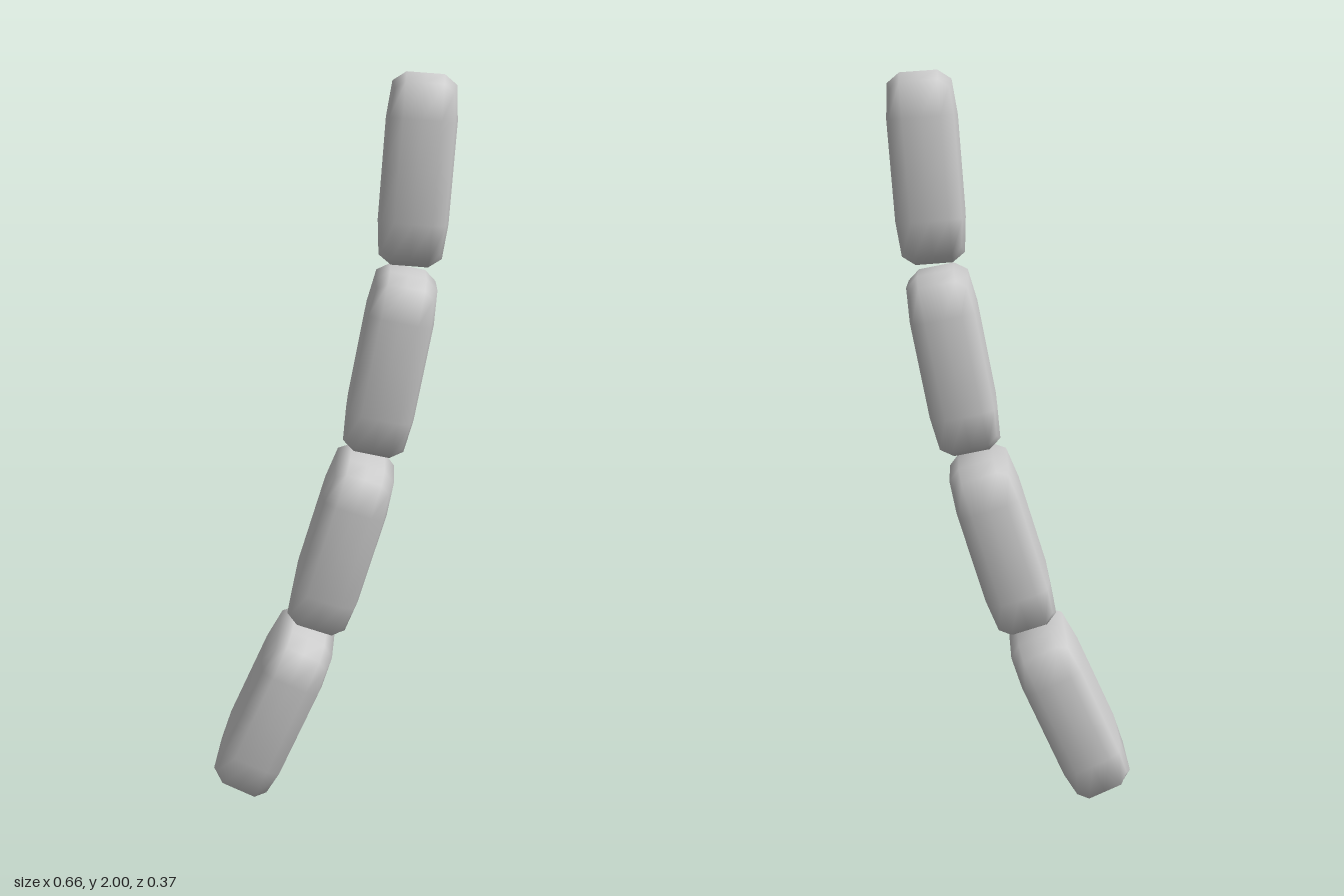
import * as THREE from 'three';
import { mergeVertices } from 'three/addons/utils/BufferGeometryUtils.js';

// Softened block: a 4x4x4 box whose edges and corners are pulled inwards
function softBlock(halfX, halfY, halfZ) {
  const box = new THREE.BoxGeometry(4, 4, 4, 4, 4, 4);
  box.deleteAttribute('uv');
  box.deleteAttribute('normal');
  const geometry = mergeVertices(box);
  const pos = geometry.attributes.position;
  const outer = [0, 1, 0.9, 0.82]; // reach on a face, an edge, a corner
  for (let i = 0; i < pos.count; i++) {
    const p = [pos.getX(i), pos.getY(i), pos.getZ(i)].map(Math.round);
    const reach = outer[p.filter((v) => Math.abs(v) === 2).length];
    const q = p.map((v) => (Math.abs(v) === 2 ? Math.sign(v) * reach : v * 0.53));
    pos.setXYZ(i, q[0] * halfX, q[1] * halfY, q[2] * halfZ);
  }
  geometry.computeVertexNormals();
  return geometry;
}

export function createModel() {
  const model = new THREE.Group();
  model.name = 'segmentedStrip';
  const material = new THREE.MeshStandardMaterial({ color: 0xcccccc });
  const geometry = softBlock(0.092, 0.246, 0.187);

  // Segments from bottom to top: x, y, lean in degrees
  const segments = [
    [-0.161, 0.249, 24.5],
    [0.028, 0.734, 17.4],
    [0.159, 1.241, 11],
    [0.226, 1.752, 4.2],
  ];
  segments.forEach(([x, y, lean], i) => {
    const segment = new THREE.Mesh(geometry, material);
    segment.name = `segment${i + 1}`;
    segment.position.set(x, y, 0);
    segment.rotation.z = -THREE.MathUtils.degToRad(lean);
    model.add(segment);
  });
  return model;
}
